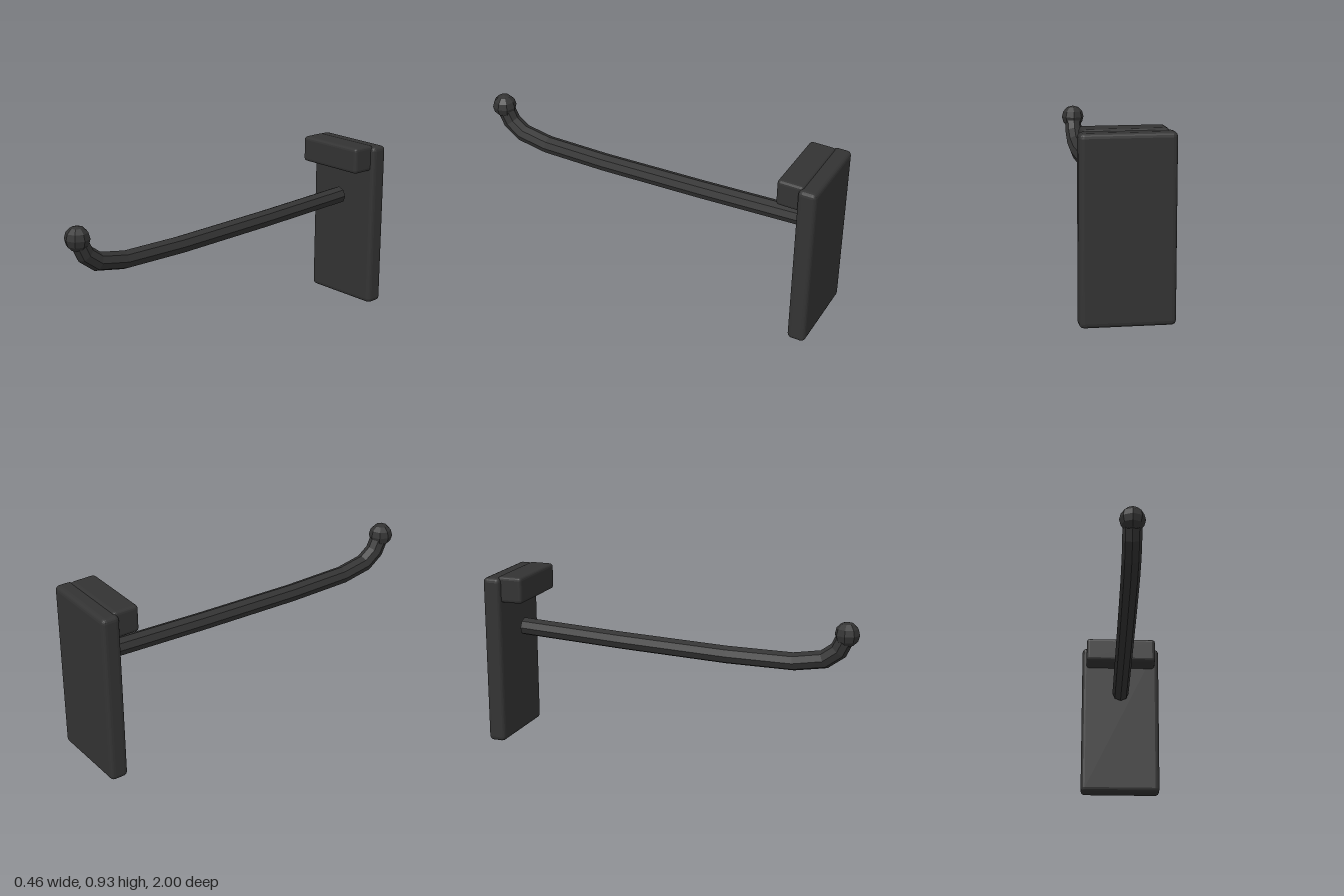
import * as THREE from 'three';
import { RoundedBoxGeometry } from 'three/addons/geometries/RoundedBoxGeometry.js';

// Faceted rod swept along [z, y] points in the x = 0 plane, with mitred joints and closed ends
function rodGeometry(path, radius, sides) {
  const pts = path.map(([z, y]) => new THREE.Vector2(z, y));
  const last = pts.length - 1;
  const pos = [], index = [];
  pts.forEach((p, i) => {
    const before = p.clone().sub(pts[Math.max(i - 1, 0)]).normalize();
    const after = pts[Math.min(i + 1, last)].clone().sub(p).normalize();
    const t = before.clone().add(after).normalize();
    const mitre = 1 / Math.max(t.dot(i < last ? after : before), 0.5);
    for (let k = 0; k < sides; k++) {
      const a = (k / sides) * Math.PI * 2;
      const n = Math.sin(a) * radius * mitre;
      pos.push(Math.cos(a) * radius, p.y + n * t.x, p.x - n * t.y);
    }
  });
  for (let i = 0; i < last; i++) {
    for (let k = 0; k < sides; k++) {
      const a = i * sides + k, b = i * sides + (k + 1) % sides;
      index.push(a, b, a + sides, b, b + sides, a + sides);
    }
  }
  for (let k = 1; k < sides - 1; k++) {
    const e = last * sides;
    index.push(0, k + 1, k, e, e + k, e + k + 1);
  }
  const g = new THREE.BufferGeometry();
  g.setAttribute('position', new THREE.Float32BufferAttribute(pos, 3));
  g.setIndex(index);
  const flat = g.toNonIndexed();
  flat.computeVertexNormals();
  return flat;
}

export function createModel() {
  const group = new THREE.Group();
  const black = new THREE.MeshStandardMaterial({ color: 0x333333, flatShading: true });
  black.name = 'black plastic';

  const add = (name, geometry, x, y, z) => {
    const mesh = new THREE.Mesh(geometry, black);
    mesh.name = name;
    mesh.position.set(x, y, z);
    group.add(mesh);
    return mesh;
  };

  // Wall plate and the clip block across its top
  add('backPlate', new RoundedBoxGeometry(0.46, 0.917, 0.097, 2, 0.024), 0, 0.4585, -0.9515);
  add('clipBlock', new RoundedBoxGeometry(0.41, 0.143, 0.14, 2, 0.018), 0, 0.8535, -0.855);

  // Long arm curving up at the front
  add('hookArm', rodGeometry([
    [-0.875, 0.607], [-0.29, 0.58], [0.3, 0.56], [0.66, 0.56],
    [0.82, 0.588], [0.893, 0.642], [0.93, 0.72],
  ], 0.048, 8), 0, 0, 0);

  // Ball at the arm tip
  add('tipBall', new THREE.SphereGeometry(0.065, 8, 6), 0, 0.73, 0.935);

  return group;
}
